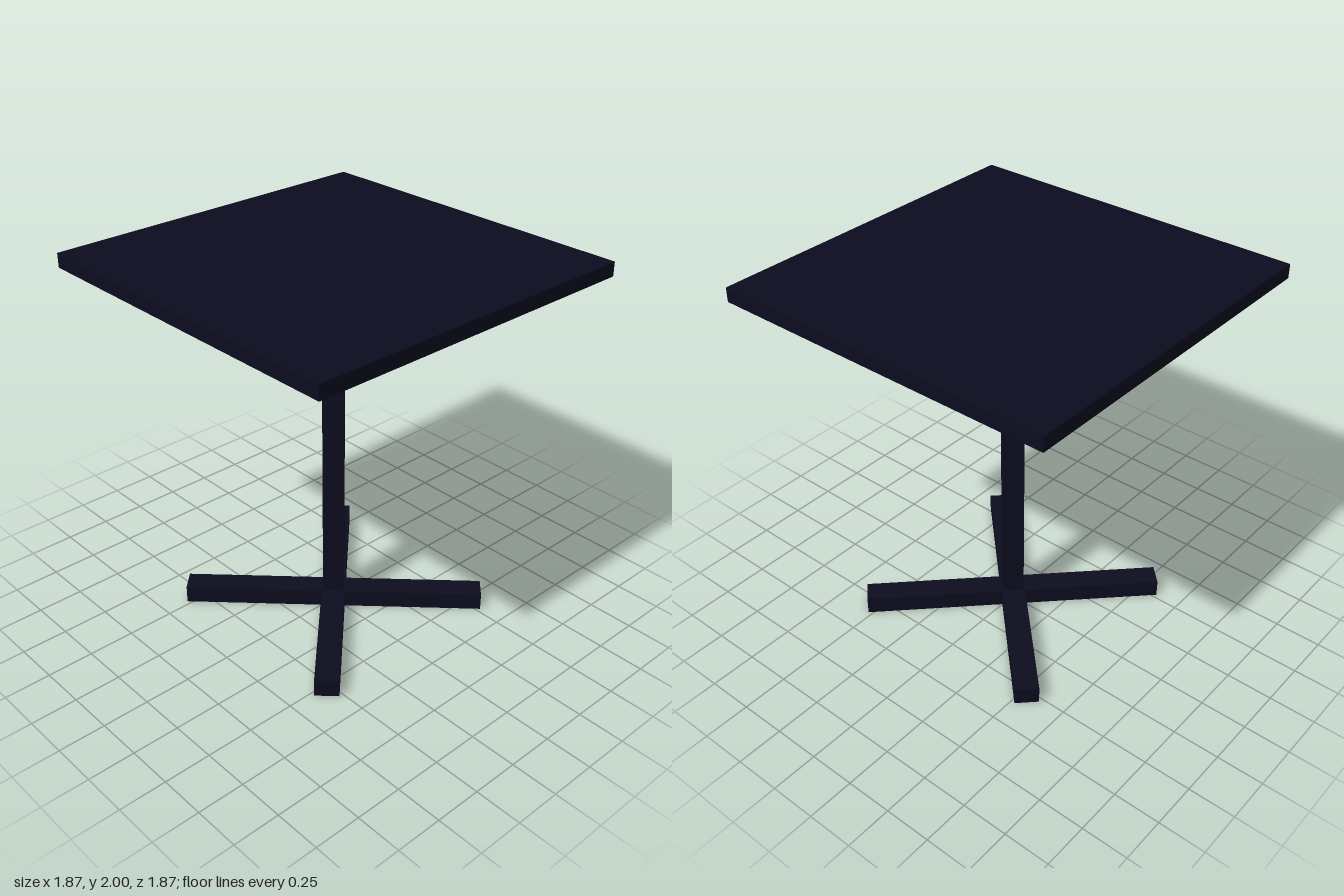
import * as THREE from 'three';

export function createModel() {
  const model = new THREE.Group();
  model.name = 'pedestalTable';

  const darkNavy = new THREE.MeshStandardMaterial({ color: 0x0c0c1f });
  darkNavy.name = 'dark navy';

  // Box standing on height y, turned about the vertical axis
  function addBox(name, width, height, depth, y, turn = 0) {
    const mesh = new THREE.Mesh(new THREE.BoxGeometry(width, height, depth), darkNavy);
    mesh.name = name;
    mesh.position.y = y + height / 2;
    mesh.rotation.y = turn;
    model.add(mesh);
  }

  const footHeight = 0.095;
  const topHeight = 0.075;

  // Square table top
  addBox('tableTop', 1.866, topHeight, 1.866, 2 - topHeight);

  // Square post, turned to line up with the feet
  addBox('post', 0.111, 2 - topHeight - footHeight, 0.111, footHeight, Math.PI / 4);

  // Two crossed feet on the diagonals
  for (const side of [-1, 1]) {
    addBox(side < 0 ? 'footRight' : 'footLeft', 1.605, footHeight, 0.126, 0, side * Math.PI / 4);
  }

  return model;
}
